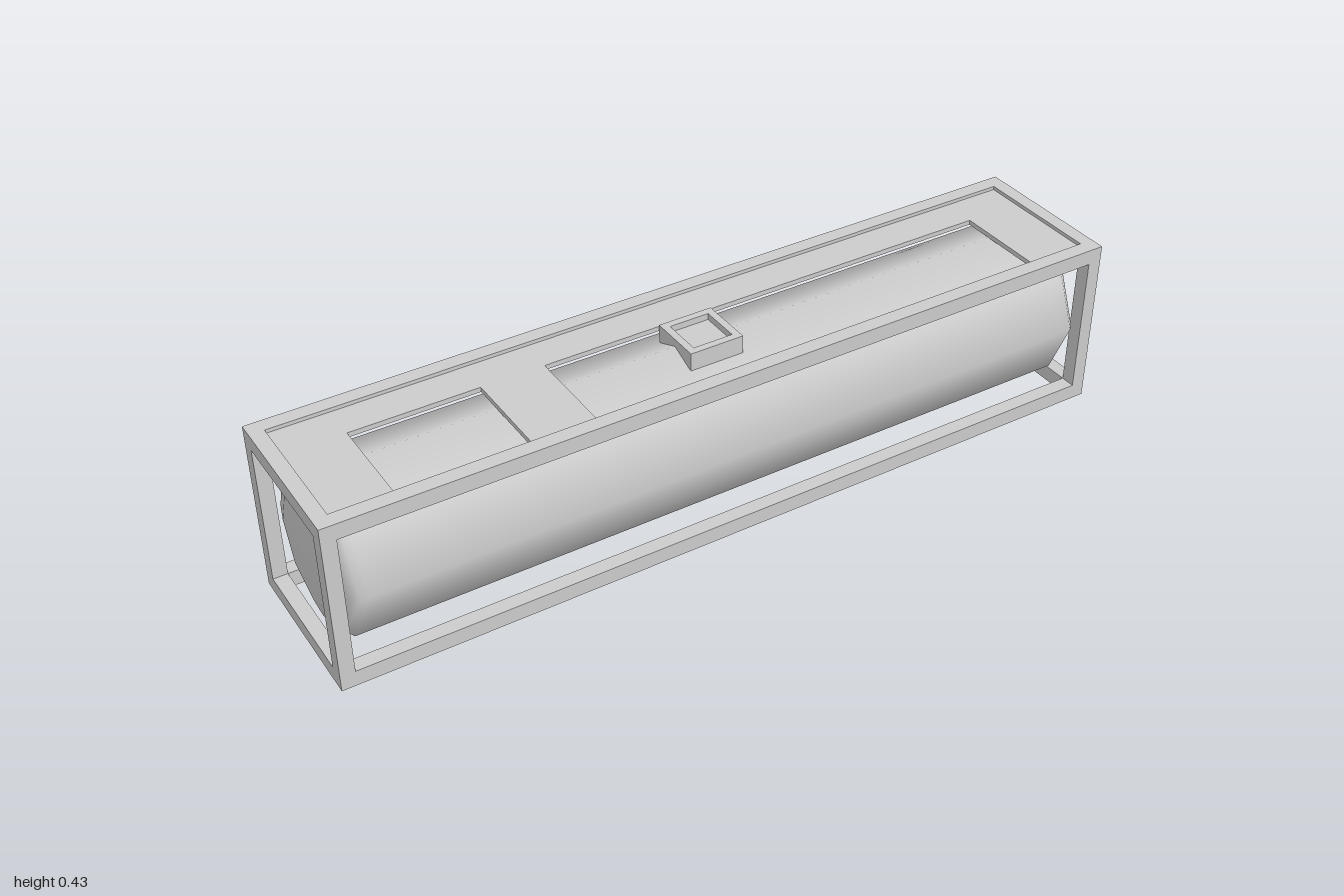
import * as THREE from 'three';

export function createModel() {
  const model = new THREE.Group();
  const material = new THREE.MeshStandardMaterial({ color: 0xcccccc });

  // Box given by its lower and upper limits on each axis
  const box = (name, [x0, x1], [y0, y1], [z0, z1], parent = model) => {
    const mesh = new THREE.Mesh(new THREE.BoxGeometry(x1 - x0, y1 - y0, z1 - z0), material);
    mesh.name = name;
    mesh.position.set((x0 + x1) / 2, (y0 + y1) / 2, (z0 + z1) / 2);
    parent.add(mesh);
    return mesh;
  };

  const H = 0.43, IX = 0.965, IZ = 0.163, B = 0.039;
  const sides = (inner, outer) => [[-outer, -inner], [inner, outer]];
  const levels = [[0, B], [H - B, H]];

  // Frame: corner posts, long rails and end rails
  const frame = new THREE.Group();
  frame.name = 'frame';
  model.add(frame);
  for (const x of sides(IX, 1))
    for (const z of sides(IZ, 0.2)) box('cornerPost', x, [0, H], z, frame);
  for (const y of levels) {
    for (const z of sides(IZ, 0.2)) box('longRail', [-IX, IX], y, z, frame);
    for (const x of sides(IX, 1)) box('endRail', x, y, [-IZ, IZ], frame);
  }

  // Tank: eight-sided smooth barrel with domed ends
  const half = [[0.197, 0.915], [0.197, 0.935], [0.18, 0.952], [0.13, 0.967], [0, 0.972]];
  const profile = [
    ...half.slice().reverse().map(([r, x]) => new THREE.Vector2(r, -x)),
    ...half.map(([r, x]) => new THREE.Vector2(r, x)),
  ];
  const tank = new THREE.Mesh(new THREE.LatheGeometry(profile, 8), material);
  tank.name = 'tank';
  tank.rotation.z = -Math.PI / 2;
  tank.position.y = 0.214;
  model.add(tank);

  // Walkway along the back and cross plates over the tank
  box('walkway', [-IX, IX], [0.409, 0.421], [-IZ, -0.075]);
  for (const x of [[-IX, -0.82], [-0.51, -0.355], [0.82, IX]])
    box('crossPlate', x, [0.409, 0.421], [-0.075, IZ]);

  // Hatch: square rim around a sunken lid
  const hatch = new THREE.Group();
  hatch.name = 'hatch';
  model.add(hatch);
  const O = 0.068, I = 0.05, hy = [0.385, 0.43];
  for (const s of sides(I, O)) {
    box('hatchRim', s, hy, [-O, O], hatch);
    box('hatchRim', [-I, I], hy, s, hatch);
  }
  box('hatchLid', [-I, I], [0.385, 0.414], [-I, I], hatch);

  return model;
}
